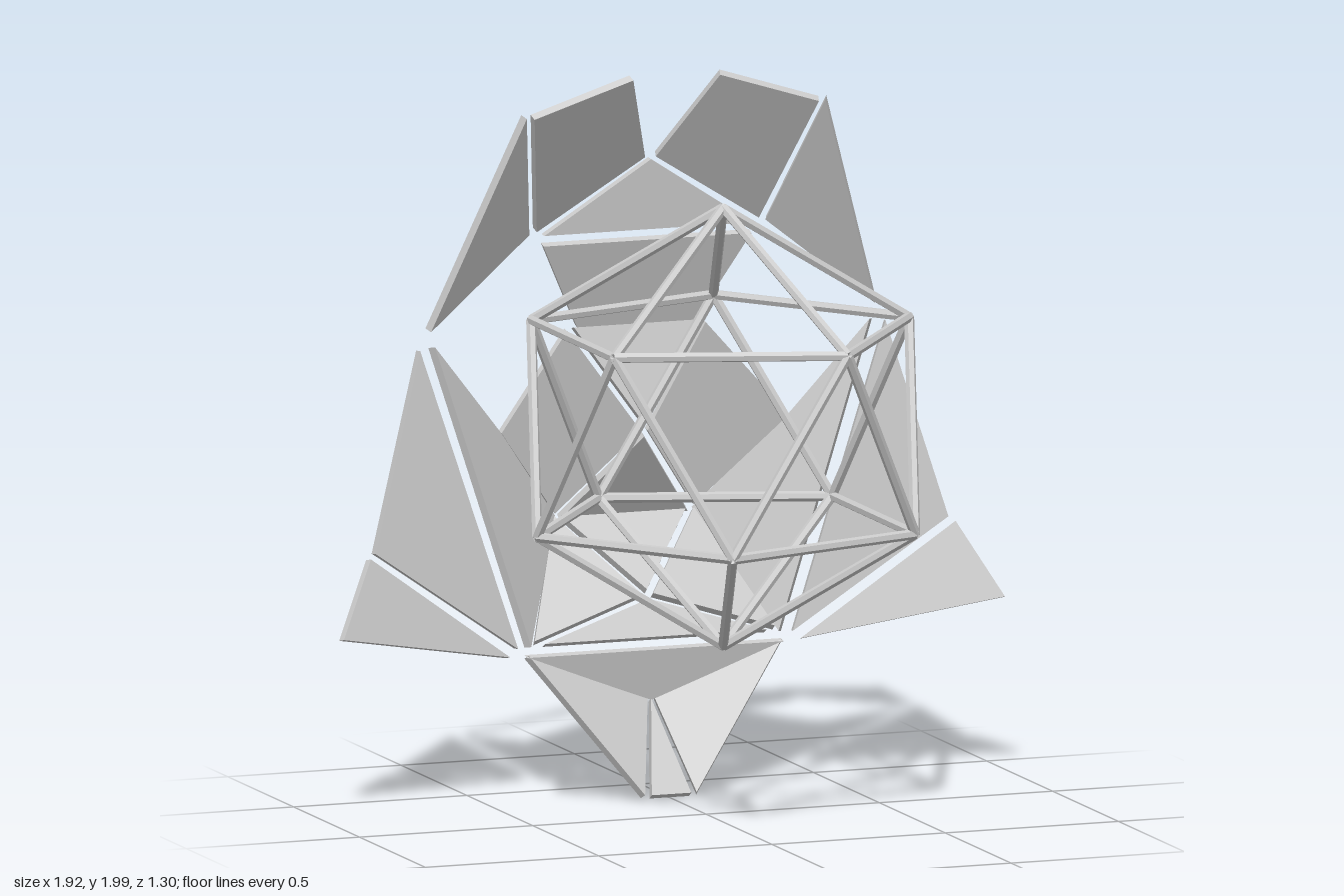
import * as THREE from 'three';

const material = new THREE.MeshStandardMaterial({ color: 0xcccccc, flatShading: true });
const plateMaterial = new THREE.MeshStandardMaterial({ color: 0xcccccc });
const THICKNESS = 0.022;
const V = (p) => new THREE.Vector3(...p);

// Thin slab: corners lie on the outer (rear) surface and the slab grows forwards.
// One averaged normal per face; quads fold along the diagonal from corner 0 to 2.
function plate(name, corners) {
  let outer = corners.map(V);
  const averageNormal = (pts) => {
    const n = new THREE.Vector3();
    pts.forEach((p, i) => n.add(p.clone().cross(pts[(i + 1) % pts.length])));
    return n.normalize();
  };
  let n = averageNormal(outer);
  if (n.z > 0) {
    outer = [outer[0], ...outer.slice(1).reverse()];
    n = averageNormal(outer);
  }
  const inner = outer.map((p) => p.clone().addScaledVector(n, -THICKNESS));
  const positions = [], normals = [];
  const face = (pts) => {
    const fn = averageNormal(pts);
    for (let i = 1; i < pts.length - 1; i++) {
      for (const p of [pts[0], pts[i], pts[i + 1]]) {
        positions.push(p.x, p.y, p.z);
        normals.push(fn.x, fn.y, fn.z);
      }
    }
  };
  face(outer);
  face([inner[0], ...inner.slice(1).reverse()]);
  outer.forEach((p, i) => {
    const j = (i + 1) % outer.length;
    face([p, inner[i], inner[j], outer[j]]);
  });
  const geometry = new THREE.BufferGeometry();
  geometry.setAttribute('position', new THREE.Float32BufferAttribute(positions, 3));
  geometry.setAttribute('normal', new THREE.Float32BufferAttribute(normals, 3));
  const mesh = new THREE.Mesh(geometry, plateMaterial);
  mesh.name = name;
  return mesh;
}

// Round-ish bar between two points
function strut(a, b) {
  const mesh = new THREE.Mesh(new THREE.CylinderGeometry(0.014, 0.014, a.distanceTo(b), 6), material);
  mesh.position.copy(a).add(b).multiplyScalar(0.5);
  mesh.quaternion.setFromUnitVectors(new THREE.Vector3(0, 1, 0), b.clone().sub(a).normalize());
  mesh.name = 'strut';
  return mesh;
}

// Wire icosahedron: two poles and two staggered rings of five
function createCage() {
  const cage = new THREE.Group();
  cage.name = 'icosahedronCage';
  const cy = 1.09, cz = 0.13, R = 0.6;
  const ring = (start, y) => Array.from({ length: 5 }, (_, i) => {
    const a = start + (i * Math.PI * 2) / 5;
    const r = R * 2 / Math.sqrt(5);
    return new THREE.Vector3(r * Math.cos(a), y, cz + r * Math.sin(a));
  });
  const upper = ring(0, cy + R / Math.sqrt(5));
  const lower = ring(Math.PI / 5, cy - R / Math.sqrt(5));
  const top = new THREE.Vector3(0, cy + R, cz);
  const bottom = new THREE.Vector3(0, cy - R, cz);
  for (let i = 0; i < 5; i++) {
    const j = (i + 1) % 5;
    cage.add(
      strut(top, upper[i]), strut(upper[i], upper[j]),
      strut(upper[i], lower[i]), strut(upper[j], lower[i]),
      strut(lower[i], lower[j]), strut(lower[i], bottom),
    );
  }
  return cage;
}

export function createModel() {
  const model = new THREE.Group();
  model.name = 'facetedMaskWithCage';
  model.add(createCage());

  const mask = new THREE.Group();
  mask.name = 'mask';
  model.add(mask);

  // Plates on the centre line
  const centre = {
    foreheadTriangle: [[0, 1.735, -0.44], [-0.3, 1.54, -0.46], [0.3, 1.54, -0.46]],
    browPlate: [[-0.3, 1.515, -0.465], [0.3, 1.515, -0.465], [0.17, 1.27, -0.55], [-0.17, 1.27, -0.55]],
    bridgeTriangle: [[-0.18, 1.26, -0.55], [0.18, 1.26, -0.55], [0, 0.995, -0.49]],
    noseTriangle: [[0, 0.975, -0.49], [0.185, 0.735, -0.645], [-0.185, 0.735, -0.645]],
    underNoseTriangle: [[-0.18, 0.72, -0.64], [0.18, 0.72, -0.64], [0, 0.535, -0.465]],
    jawTriangle: [[-0.32, 0.42, -0.4], [0.32, 0.42, -0.4], [0, 0.515, -0.455]],
    chinTriangle: [[-0.37, 0.4, -0.405], [0.37, 0.4, -0.405], [0, 0.257, -0.437]],
    chinTip: [[0, 0.245, -0.435], [-0.057, 0.008, -0.28], [0.057, 0.008, -0.28]],
  };
  for (const [name, corners] of Object.entries(centre)) mask.add(plate(name, corners));

  // Plates mirrored on both sides
  const sides = {
    CrestPlate: [[0.13, 2, -0.24], [0.415, 1.91, -0.24], [0.325, 1.56, -0.46], [0.02, 1.75, -0.44]],
    EarTriangle: [[0.44, 1.91, -0.245], [0.35, 1.55, -0.463], [0.65, 1.31, -0.42]],
    EyePlate: [[0.01, 0.985, -0.49], [0.2, 1.26, -0.55], [0.415, 1.005, -0.482], [0.2, 0.745, -0.643]],
    CheekPlate: [[0.37, 0.42, -0.405], [0.21, 0.73, -0.645], [0.425, 0.995, -0.485], [0.64, 1.255, -0.425]],
    MuzzleTriangle: [[0.2, 0.72, -0.64], [0.345, 0.425, -0.405], [0.015, 0.525, -0.46]],
    WingPlate: [[0.675, 1.25, -0.425], [0.83, 0.715, -0.355], [0.4, 0.42, -0.405]],
    WingTip: [[0.85, 0.7, -0.345], [0.96, 0.5, -0.26], [0.425, 0.395, -0.405]],
    ChinPlate: [[0.37, 0.39, -0.405], [0.015, 0.25, -0.437], [0.08, 0.01, -0.285]],
  };
  for (const [name, corners] of Object.entries(sides)) {
    mask.add(plate('left' + name, corners));
    mask.add(plate('right' + name, corners.map(([x, y, z]) => [-x, y, z])));
  }
  return model;
}
